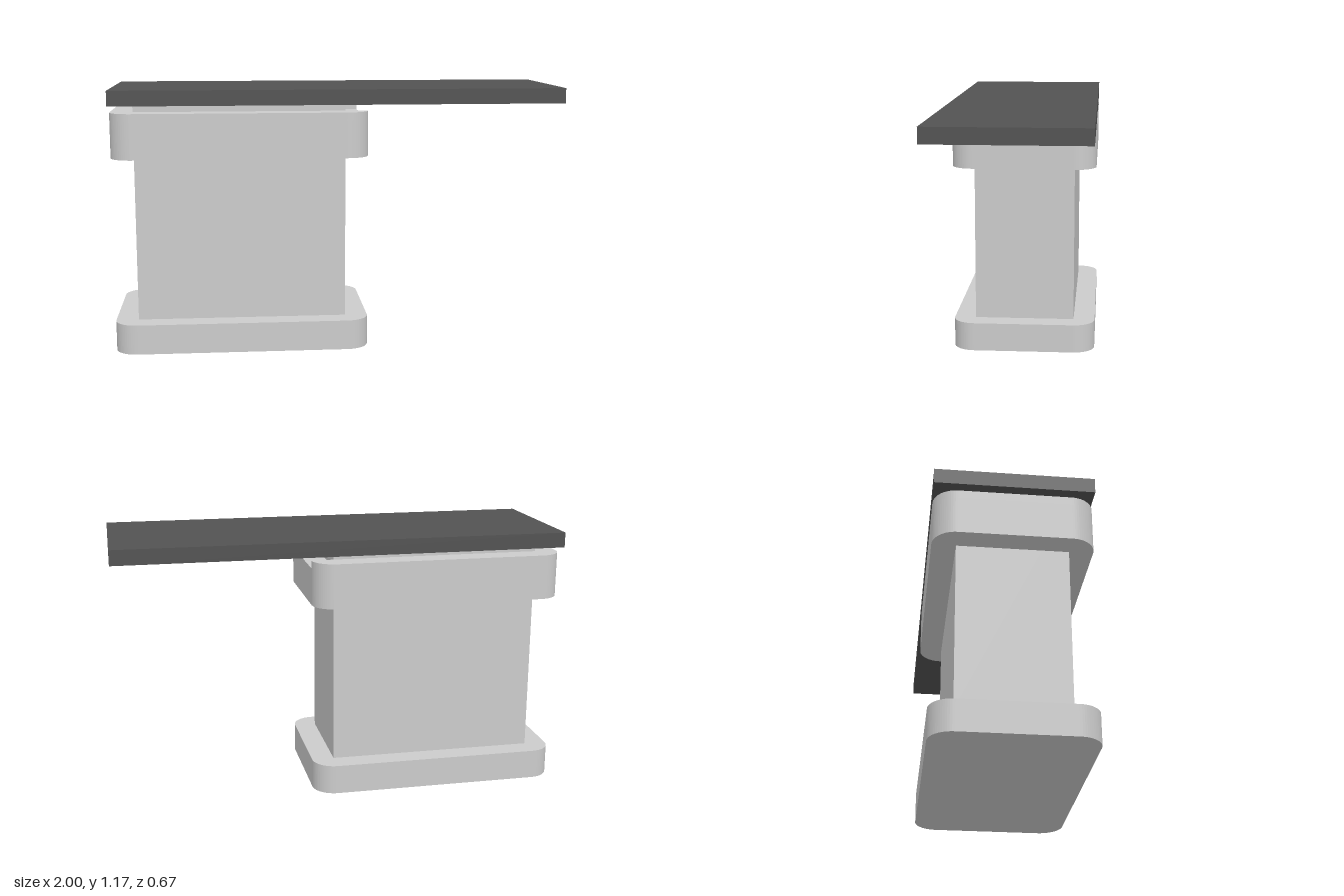
import * as THREE from 'three';

const X0 = -1, X1 = 0.133, Z = 0.333, R = 0.1; // pedestal plan: ends, half depth, corner radius

// Rounded plan outline; a notch depth cuts the +x end back between its corners
function plan(notch = 0) {
  const s = new THREE.Shape();
  const q = Math.PI / 2;
  s.moveTo(X1, Z - R);
  s.absarc(X1 - R, Z - R, R, 0, q);
  s.absarc(X0 + R, Z - R, R, q, 2 * q);
  s.absarc(X0 + R, R - Z, R, 2 * q, 3 * q);
  s.absarc(X1 - R, R - Z, R, 3 * q, 4 * q);
  if (notch) {
    s.lineTo(X1 - notch, R - Z);
    s.lineTo(X1 - notch, Z - R);
  }
  s.closePath();
  return s;
}

export function createModel() {
  const model = new THREE.Group();
  const grey = new THREE.MeshStandardMaterial({ color: 0xcccccc });
  const dark = new THREE.MeshStandardMaterial({ color: 0x525252 });

  const add = (name, geometry, material, parent = model) => {
    const mesh = new THREE.Mesh(geometry, material);
    mesh.name = name;
    parent.add(mesh);
  };
  const slab = (shape, y0, y1) =>
    new THREE.ExtrudeGeometry(shape, { depth: y1 - y0, bevelEnabled: false, curveSegments: 8 })
      .rotateX(-Math.PI / 2).translate(0, y0, 0);
  const box = (x0, x1, y0, y1, halfZ) =>
    new THREE.BoxGeometry(x1 - x0, y1 - y0, 2 * halfZ)
      .translate((x0 + x1) / 2, (y0 + y1) / 2, 0);

  // Foot and column
  add('base', slab(plan(), 0, 0.133), grey);
  add('column', box(X0 + R, X1 - R, 0.133, 1.1, Z - R), grey);

  // Collar, with a shallow recess in the top of its +x end
  const collar = new THREE.Group();
  collar.name = 'collar';
  add('collarBody', slab(plan(), 0.867, 1.033), grey, collar);
  add('collarRim', slab(plan(R), 1.033, 1.067), grey, collar);
  model.add(collar);

  // Overhanging top
  add('tableTop', box(-1, 1, 1.1, 1.167, Z), dark);
  return model;
}
